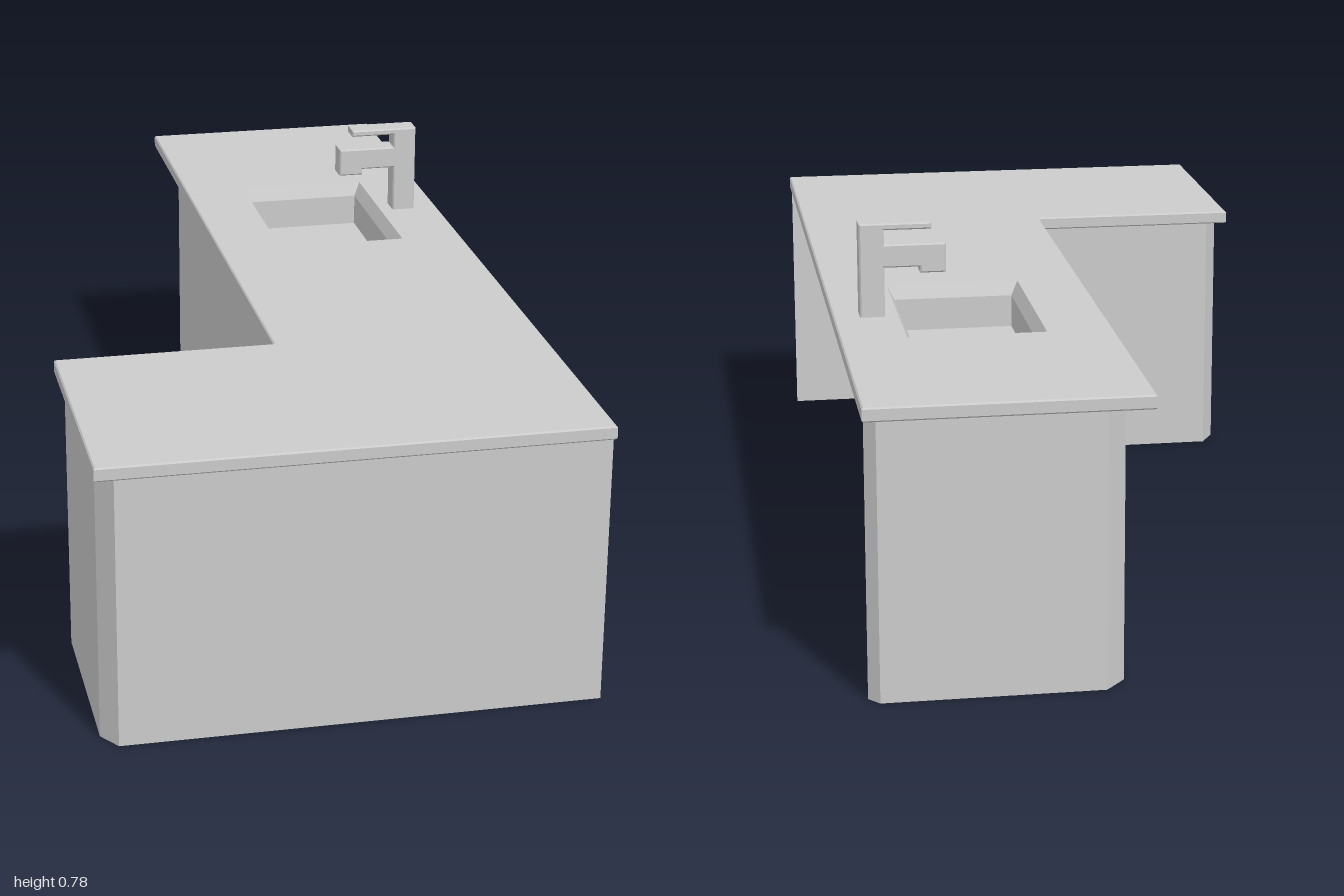
import * as THREE from 'three';

const mat = new THREE.MeshStandardMaterial({ color: 0xcccccc, flatShading: true });
const sheet = new THREE.MeshStandardMaterial({ color: 0xcccccc, flatShading: true, side: THREE.DoubleSide });

function add(group, name, geometry, material = mat) {
  const mesh = new THREE.Mesh(geometry, material);
  mesh.name = name;
  group.add(mesh);
  return mesh;
}

const outline = pts => pts.map(([x, y]) => new THREE.Vector2(x, y));

// Extrusion with a small chamfer that stays inside the given outline and depth
function bevelled(shape, depth, b) {
  const g = new THREE.ExtrudeGeometry(shape, {
    depth: depth - 2 * b, bevelEnabled: true, bevelSize: b,
    bevelThickness: b, bevelOffset: -b, bevelSegments: 1,
  });
  return g.translate(0, 0, b);
}

// Flat strips joining a list of loops of 3D points
function loft(loops, closed) {
  const pos = [];
  for (let i = 0; i < loops.length - 1; i++) {
    const a = loops[i], b = loops[i + 1], n = a.length;
    for (let j = 0; j < (closed ? n : n - 1); j++) {
      const k = (j + 1) % n;
      pos.push(...a[j], ...a[k], ...b[k], ...a[j], ...b[k], ...b[j]);
    }
  }
  const g = new THREE.BufferGeometry();
  g.setAttribute('position', new THREE.Float32BufferAttribute(pos, 3));
  g.computeVertexNormals();
  return g;
}

export function createModel() {
  const model = new THREE.Group();
  model.name = 'counter';
  const TOP = 0.583, UNDER = 0.555, B = 0.003;

  // Sink opening and its rectangle grown by g
  const rect = g => [
    [0.085 - g, -0.12 + g], [0.365 + g, -0.12 + g],
    [0.365 + g, -0.535 - g], [0.085 - g, -0.535 - g],
  ];

  // L-shaped worktop with the sink cut-out
  const top = new THREE.Shape(outline([
    [-0.498, -1], [0.498, -1], [0.498, 1], [-0.05, 1], [-0.05, -0.455], [-0.498, -0.455],
  ]));
  top.holes.push(new THREE.Path(outline(rect(0.01 - B).map(([x, z]) => [x, -z]).reverse())));
  add(model, 'worktop', bevelled(top, TOP - UNDER, B).rotateX(-Math.PI / 2).translate(0, UNDER, 0));

  // Thin panels below, chamfered at the outer corners and open on the +x side
  const path = [
    [0.494, 0.99], [-0.46, 0.99], [-0.49, 0.945], [-0.49, 0.55], [-0.46, 0.5],
    [0, 0.5], [0, -0.945], [0.04, -0.99], [0.472, -0.99], [0.493, -0.965],
  ];
  const wall = y => path.map(([x, z]) => [x, y, z]);
  add(model, 'basePanels', loft([wall(UNDER + 0.001), wall(0)], false), sheet);

  // Sink: flat lip, sloped rim, straight basin and floor
  const sink = new THREE.Group();
  sink.name = 'sink';
  const ring = (g, y) => rect(g).map(([x, z]) => [x, y, z]);
  add(sink, 'rim', loft([ring(0.01, TOP), ring(0, TOP), ring(-0.015, UNDER)], true), sheet);
  const floor = ring(-0.015, 0.487);
  add(sink, 'basin', loft([ring(-0.015, UNDER), floor], true), sheet);
  add(sink, 'basinFloor', loft([[floor[0], floor[1]], [floor[3], floor[2]]], false), sheet);
  model.add(sink);

  // Tap: column, spout with downturned tip, and flat lever in one profile
  const tap = new THREE.Shape(outline([
    [0.393, 0.58], [0.444, 0.58], [0.444, 0.777], [0.296, 0.777], [0.296, 0.763],
    [0.393, 0.763], [0.393, 0.733], [0.267, 0.733], [0.267, 0.672], [0.32, 0.672],
    [0.32, 0.685], [0.393, 0.685],
  ]));
  add(model, 'tap', bevelled(tap, 0.05, B).translate(0, 0, -0.372));

  return model;
}
